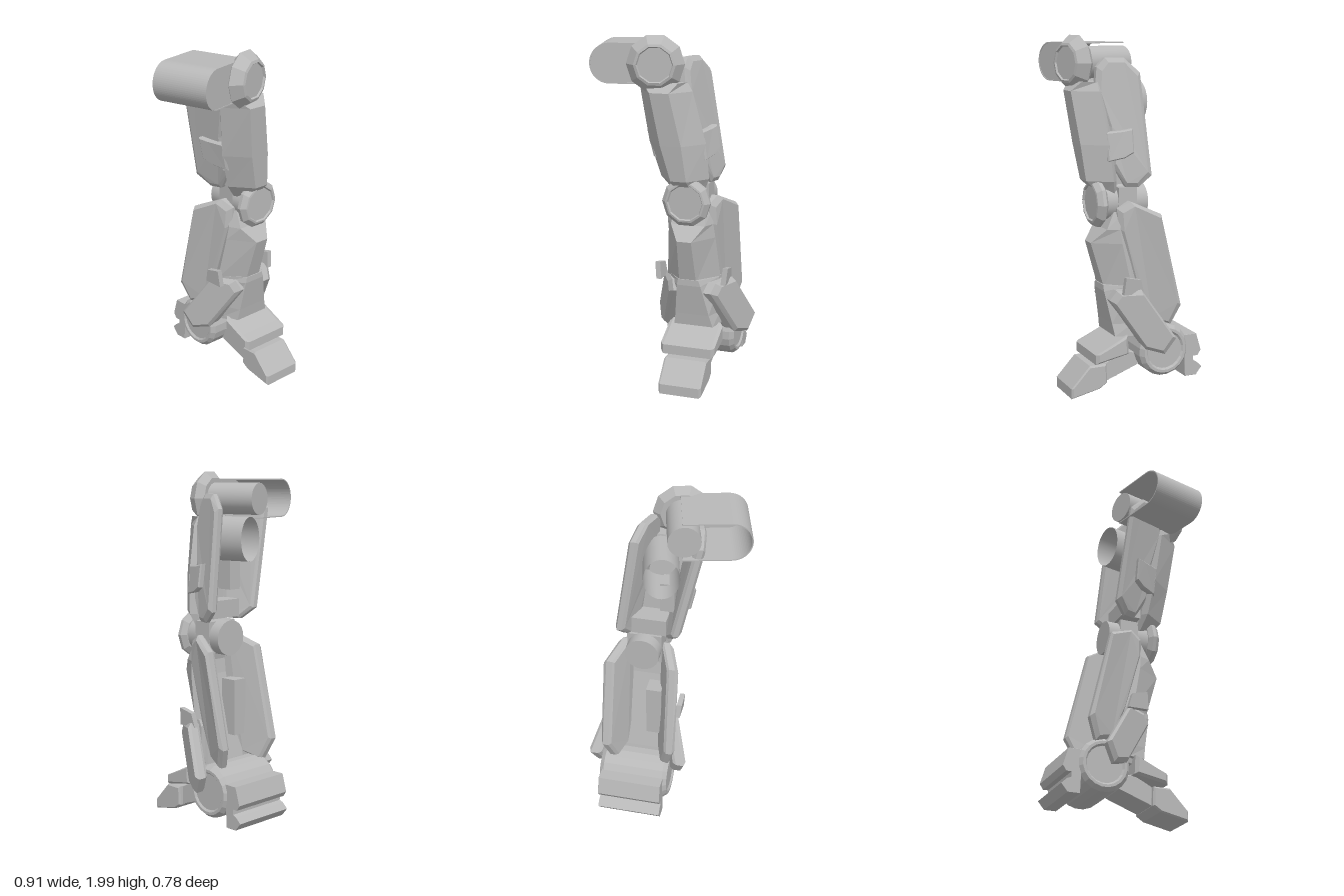
import * as THREE from 'three';

const grey = new THREE.MeshStandardMaterial({ color: 0xb8b8b8, side: THREE.DoubleSide });
grey.name = 'grey armour';

function add(parent, name, geometry) {
  const mesh = new THREE.Mesh(geometry, grey);
  mesh.name = name;
  parent.add(mesh);
  return mesh;
}

// Faceted solid through equal-length rings; caps lists the triangles of the end faces
function loft(rings, caps, flip = false) {
  const out = [];
  const tri = (a, b, c) => (flip ? [a, c, b] : [a, b, c]).forEach(p => out.push(...p));
  for (let j = 0; j + 1 < rings.length; j++) {
    const a = rings[j], b = rings[j + 1];
    a.forEach((p, i) => {
      const k = (i + 1) % a.length;
      tri(p, a[k], b[k]);
      tri(p, b[k], b[i]);
    });
  }
  const top = rings[rings.length - 1];
  caps.forEach(([a, b, c]) => {
    tri(rings[0][a], rings[0][c], rings[0][b]);
    tri(top[a], top[b], top[c]);
  });
  const g = new THREE.BufferGeometry();
  g.setAttribute('position', new THREE.Float32BufferAttribute(out, 3));
  g.computeVertexNormals();
  return g;
}

// Slab from a side outline of [z, y]; layers are [x, inset], shifted by centre(y) and spread(y, z)
function slab(outline, layers, centre, side = 1, spread = () => 0) {
  let pts = outline.map(([z, y]) => new THREE.Vector2(-z, y));
  if (THREE.ShapeUtils.isClockWise(pts)) pts = pts.reverse();
  const caps = THREE.ShapeUtils.triangulateShape(pts, []);
  const box = new THREE.Box2().setFromPoints(pts);
  const mid = box.getCenter(new THREE.Vector2()), size = box.getSize(new THREE.Vector2());
  const rings = layers.map(([x, inset]) => pts.map(p => {
    const z = -mid.x - (p.x - mid.x) * (1 - 2 * inset / size.x);
    const y = mid.y + (p.y - mid.y) * (1 - 2 * inset / size.y);
    return [centre(y) + side * (x + spread(y, z)), y, z];
  }));
  return loft(rings, caps, side < 0);
}

// Limb shell from sections [y, back half width, back z, side half width, side z, front half width, front z]
function limb(sections, centre) {
  const rings = sections.map(([y, wb, zb, ws, zs, wf, zf]) => {
    const c = centre(y);
    return [[c + wf, y, zf], [c + ws, y, zs], [c + wb, y, zb], [c - wb, y, zb], [c - ws, y, zs], [c - wf, y, zf]];
  });
  return loft(rings, [[0, 1, 2], [0, 2, 3], [0, 3, 4], [0, 4, 5]]);
}

// Ten-sided faceted disc turned about z, profile [radius, z]
function disc(profile) {
  let g = new THREE.LatheGeometry(profile.map(([r, z]) => new THREE.Vector2(r, z)).reverse(), 10, Math.PI / 10);
  g = g.rotateX(Math.PI / 2).toNonIndexed();
  g.computeVertexNormals();
  return g;
}

function tube(radius, z0, z1, open = false) {
  return new THREE.CylinderGeometry(radius, radius, z1 - z0, 24, 1, open)
    .rotateX(Math.PI / 2).translate(0, 0, (z0 + z1) / 2);
}

export function createModel() {
  const model = new THREE.Group();
  model.name = 'mechanical leg';
  const thighX = y => -0.02 + (1.84 - y) * 0.188;
  const calfX = () => 0.128;
  const footX = () => 0.153;

  // Hip: turned joint with a wrapped sleeve reaching to the side
  const hip = new THREE.Group();
  hip.name = 'hip';
  hip.position.set(-0.03, 1.84, 0.24);
  hip.rotation.y = 0.245;
  model.add(hip);
  add(hip, 'hipDisc', disc([[0, 0.055], [0.094, 0.055], [0.1, 0.065], [0.115, 0.06], [0.16, 0], [0.12, -0.04], [0, -0.04]]));
  add(hip, 'hipTube', tube(0.09, -0.335, 0));
  const lowerTube = tube(0.1, -0.345, -0.1, true).scale(1, 1.25, 1);
  add(hip, 'hipLowerTube', lowerTube).position.set(0.12, -0.22, 0);
  const wrap = new THREE.Shape();
  wrap.moveTo(0.01, 0.11);
  wrap.lineTo(-0.25, 0.11);
  wrap.absarc(-0.25, 0, 0.11, Math.PI / 2, Math.PI * 1.5, false);
  wrap.lineTo(0.01, -0.11);
  wrap.lineTo(0.01, -0.104);
  wrap.lineTo(-0.25, -0.104);
  wrap.absarc(-0.25, 0, 0.104, Math.PI * 1.5, Math.PI / 2, true);
  wrap.lineTo(0.01, 0.104);
  add(hip, 'hipSleeve', new THREE.ExtrudeGeometry(wrap, { depth: 0.335, bevelEnabled: false, curveSegments: 16 }))
    .position.z = -0.34;
  const cap = new THREE.Shape();
  cap.moveTo(0, 0.108);
  cap.lineTo(-0.25, 0.108);
  cap.absarc(-0.25, 0, 0.108, Math.PI / 2, Math.PI * 1.5, false);
  cap.lineTo(0, -0.108);
  add(hip, 'sleeveCap', new THREE.ShapeGeometry(cap, 16)).position.z = -0.008;

  // Thigh shell with a narrow front ridge, and the blocks behind it
  add(model, 'thighShell', limb([
    [1.12, 0.07, 0.08, 0.09, 0.1, 0.04, 0.16],
    [1.2, 0.11, 0.09, 0.14, 0.12, 0.045, 0.245],
    [1.4, 0.13, 0.1, 0.165, 0.14, 0.06, 0.268],
    [1.69, 0.12, 0.13, 0.15, 0.17, 0.055, 0.3],
    [1.74, 0.11, 0.14, 0.13, 0.17, 0.1, 0.25],
  ], thighX));
  add(model, 'thighLowerBlock', new THREE.BoxGeometry(0.2, 0.1, 0.12)).position.set(0.1, 1.23, 0.03);
  add(model, 'thighSideBlock', new THREE.BoxGeometry(0.08, 0.18, 0.1)).position.set(0, 1.42, 0.05);

  // Knee: axle with a large front disc
  const knee = new THREE.Group();
  knee.name = 'knee';
  knee.position.set(0.128, 1.075, 0);
  model.add(knee);
  add(knee, 'kneeAxle', tube(0.1, -0.095, 0.17));
  add(knee, 'kneeDisc', disc([[0, 0.207], [0.098, 0.207], [0.104, 0.217], [0.115, 0.215], [0.14, 0.19], [0.14, 0.17], [0.11, 0.15], [0, 0.15]]));
  add(knee, 'kneeBlock', new THREE.BoxGeometry(0.2, 0.18, 0.11)).position.set(0, 0, 0.03);

  // Calf shell, lower shin guard and the block behind them
  add(model, 'calfShell', limb([
    [0.3, 0.1, -0.1, 0.13, -0.05, 0.06, 0.08],
    [0.6, 0.13, -0.03, 0.16, 0.03, 0.05, 0.155],
    [0.855, 0.12, 0.03, 0.14, 0.08, 0.042, 0.23],
    [0.935, 0.11, 0.04, 0.13, 0.09, 0.1, 0.155],
    [1.03, 0.1, 0.02, 0.12, 0.06, 0.09, 0.11],
  ], calfX));
  add(model, 'shinGuard', limb([
    [0.33, 0.14, -0.03, 0.14, 0.03, 0.115, 0.125],
    [0.4, 0.14, -0.03, 0.14, 0.03, 0.1, 0.135],
    [0.58, 0.15, -0.02, 0.15, 0.05, 0.07, 0.165],
    [0.615, 0.15, 0, 0.15, 0.05, 0.06, 0.165],
  ], y => 0.135 + (0.6 - y) * 0.07));
  add(model, 'calfSideBlock', new THREE.BoxGeometry(0.09, 0.32, 0.1)).position.set(0.06, 0.67, -0.05);

  // Paired armour panels, opening outward towards the back
  const thighPanel = [[0.165, 1.82], [0.12, 1.87], [0.02, 1.87], [-0.06, 1.79], [-0.095, 1.23], [-0.025, 1.165], [0.04, 1.165], [0.11, 1.28], [0.125, 1.5], [0.18, 1.7]];
  const thighStep = [[0.155, 1.47], [0.06, 1.48], [0.01, 1.49], [0.01, 1.36], [0.06, 1.33], [0.15, 1.31]];
  const calfPanel = [[0.1, 1.05], [0.03, 1.09], [-0.125, 1.02], [-0.25, 0.49], [-0.2, 0.37], [-0.1, 0.4], [-0.005, 0.6], [0.095, 0.94]];
  const calfFin = [[0.1, 0.58], [0.09, 0.68], [0, 0.66], [-0.02, 0.58]];
  const ankleGuard = [[0.155, 0.54], [0.12, 0.595], [0, 0.605], [-0.17, 0.335], [-0.115, 0.24], [-0.02, 0.265]];
  const thighSpread = (y, z) => -Math.max(0, 1.35 - y) * 0.12 - 0.33 * (z - 0.1 * (y - 1.2));
  const calfSpread = (y, z) => -Math.max(0, y - 0.9) * 0.15 - 0.4 * (z + 0.17 - 0.283 * (y - 0.45));
  for (const [side, tag] of [[1, 'left'], [-1, 'right']]) {
    add(model, tag + 'ThighPanel', slab(thighPanel, [[0.115, 0.012], [0.13, 0], [0.158, 0], [0.175, 0.025]], thighX, side, thighSpread));
    add(model, tag + 'ThighStep', slab(thighStep, [[0.14, 0], [0.195, 0], [0.203, 0.008]], thighX, side, thighSpread));
    add(model, tag + 'CalfPanel', slab(calfPanel, [[0.125, 0.012], [0.138, 0], [0.172, 0], [0.192, 0.025]], calfX, side, calfSpread));
    add(model, tag + 'CalfFin', slab(calfFin, [[0.13, 0], [0.16, 0]], calfX, side, y => 0.05 + (y - 0.6) * 0.1));
    add(model, tag + 'AnkleGuard', slab(ankleGuard, [[0.135, 0.012], [0.15, 0], [0.195, 0], [0.218, 0.025]], footX, side,
      (y, z) => -0.55 * z));
  }

  // Ankle drum, chamfered and recessed at both ends
  const drum = Array.from({ length: 20 }, (_, i) => {
    const a = (i + 0.5) * Math.PI / 10;
    return [-0.145 + 0.15 * Math.cos(a), 0.24 + 0.15 * Math.sin(a)];
  });
  add(model, 'ankleDrum', slab(drum, [[-0.195, 0.045], [-0.205, 0.035], [-0.205, 0.02], [-0.18, 0],
    [0.18, 0], [0.205, 0.02], [0.205, 0.035], [0.195, 0.045]], footX));

  // Heel, toe and the link between them
  const block = (name, outline, half, chamfer) => add(model, name, slab(outline,
    [[-half, chamfer], [chamfer - half, 0], [half - chamfer, 0], [half, chamfer]], () => 0.155));
  block('heel', [[-0.27, 0.31], [-0.35, 0.31], [-0.38, 0.21], [-0.36, 0.18], [-0.33, 0.18], [-0.33, 0.15],
    [-0.355, 0.14], [-0.387, 0.11], [-0.35, 0.065], [-0.28, 0.065]], 0.187, 0.001);
  block('upperFoot', [[0.255, 0.19], [0.255, 0.245], [0.2, 0.27], [0.06, 0.34], [0.055, 0.23]], 0.16, 0.018);
  block('toe', [[0.39, 0.003], [0.39, 0.06], [0.28, 0.18], [0.18, 0.18], [0.175, 0.07], [0.22, 0.04]], 0.125, 0.01);
  block('footLink', [[0.18, 0.18], [0.18, 0.07], [-0.02, 0.145], [-0.06, 0.2], [0.06, 0.24]], 0.1, 0.005);
  return model;
}
